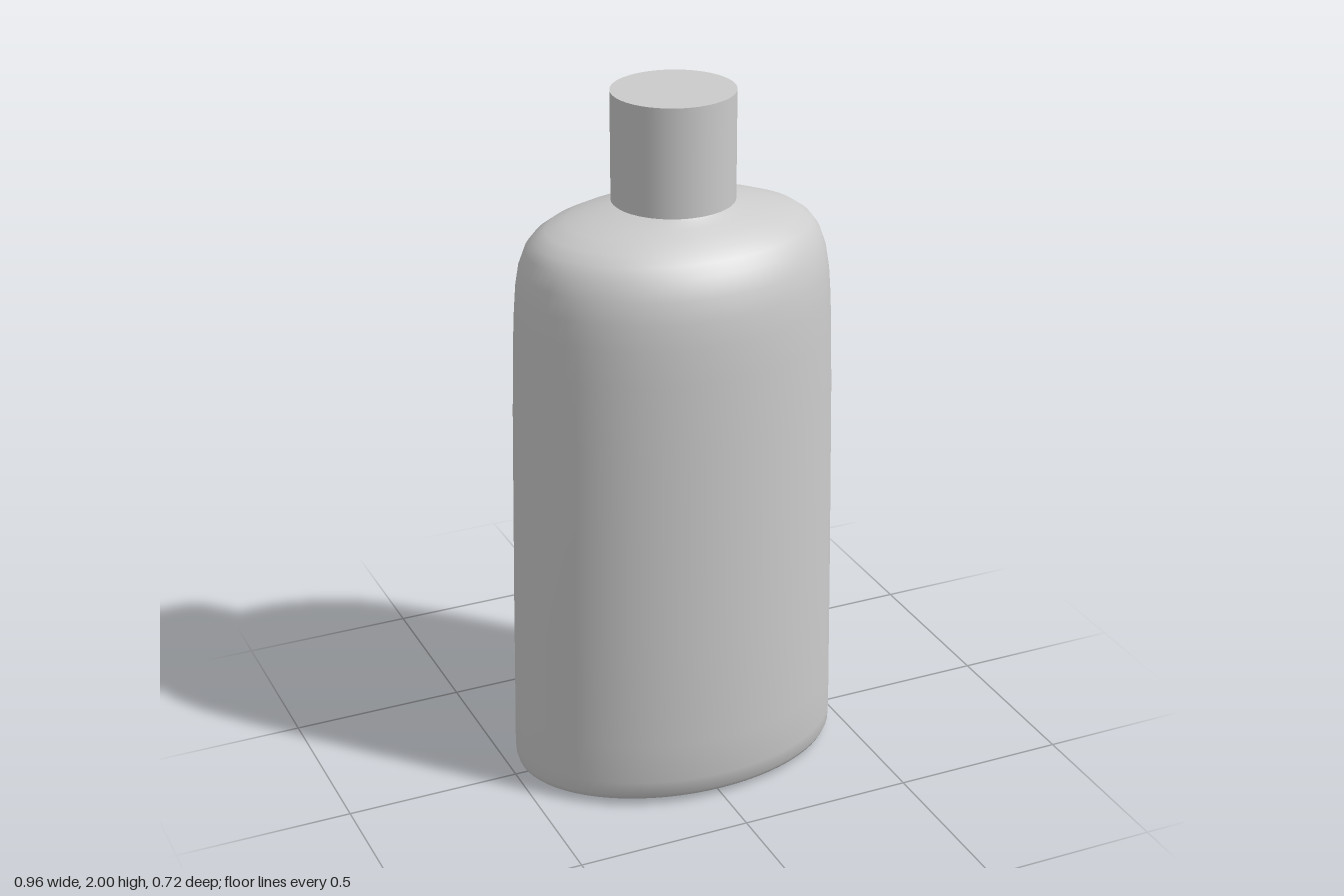
import * as THREE from 'three';
import { toCreasedNormals } from 'three/addons/utils/BufferGeometryUtils.js';

const SEGMENTS = 72;

// Elliptical sections from bottom to top: [height, half width, half depth]
const BODY = [
  [0, 0.001, 0.001], [0.003, 0.17, 0.12], [0.01, 0.466, 0.315],
  [0.018, 0.474, 0.333], [0.035, 0.479, 0.345], [0.08, 0.479, 0.353],
  [0.2, 0.476, 0.357], [0.5, 0.471, 0.357], [0.8, 0.465, 0.356],
  [1.1, 0.459, 0.353], [1.3, 0.453, 0.351], [1.4, 0.448, 0.347],
  [1.47, 0.443, 0.34], [1.53, 0.434, 0.326], [1.58, 0.417, 0.302],
  [1.61, 0.395, 0.277], [1.635, 0.36, 0.245], [1.655, 0.305, 0.21],
  [1.67, 0.25, 0.18], [1.682, 0.195, 0.155], [1.69, 0.155, 0.145],
  [1.72, 0.145, 0.14],
];

// Skin of stacked ellipses over an angle range
function loft(sections, from = 0, to = Math.PI * 2, segments = SEGMENTS) {
  const positions = [], index = [], row = segments + 1;
  for (const [y, rx, rz] of sections) {
    for (let i = 0; i <= segments; i++) {
      const a = from + (to - from) * i / segments;
      positions.push(rx * Math.sin(a), y, rz * Math.cos(a));
    }
  }
  for (let j = 0; j < sections.length - 1; j++) {
    for (let i = 0; i < segments; i++) {
      const a = j * row + i, b = a + 1, c = a + row, d = c + 1;
      index.push(a, b, d, a, d, c);
    }
  }
  const geometry = new THREE.BufferGeometry();
  geometry.setAttribute('position', new THREE.Float32BufferAttribute(positions, 3));
  geometry.setIndex(index);
  return toCreasedNormals(geometry, 0.6);
}

// Body half sizes at a height
function sectionAt(y) {
  const k = BODY.findIndex((s) => s[0] >= y);
  const [y0, x0, z0] = BODY[k - 1], [y1, x1, z1] = BODY[k];
  const t = (y - y0) / (y1 - y0);
  return [x0 + (x1 - x0) * t, z0 + (z1 - z0) * t];
}

export function createModel() {
  const group = new THREE.Group();
  const material = new THREE.MeshStandardMaterial({ color: 0xcccccc });
  const add = (name, geometry, mat = material) => {
    const mesh = new THREE.Mesh(geometry, mat);
    mesh.name = name;
    group.add(mesh);
    return mesh;
  };

  // Oval bottle with rounded shoulders and a short neck
  add('body', loft(BODY));

  // Thin panel wrapped around the back, its top and bottom edges meeting the body
  const panel = [[0.2, 0], [0.21, 0.003], [0.5, 0.003], [0.8, 0.003], [1.1, 0.003], [1.26, 0.003], [1.27, 0]]
    .map(([y, lift]) => {
      const [rx, rz] = sectionAt(y);
      return [y, rx + lift, rz + lift];
    });
  const panelMaterial = material.clone();
  panelMaterial.side = THREE.DoubleSide;
  add('backPanel', loft(panel, Math.PI - 0.98, Math.PI + 0.98, 28), panelMaterial);

  // Plain cylindrical cap
  const cap = add('cap', new THREE.CylinderGeometry(0.17, 0.17, 0.305, SEGMENTS));
  cap.position.y = 1.8475;
  cap.scale.z = 0.97;

  return group;
}
